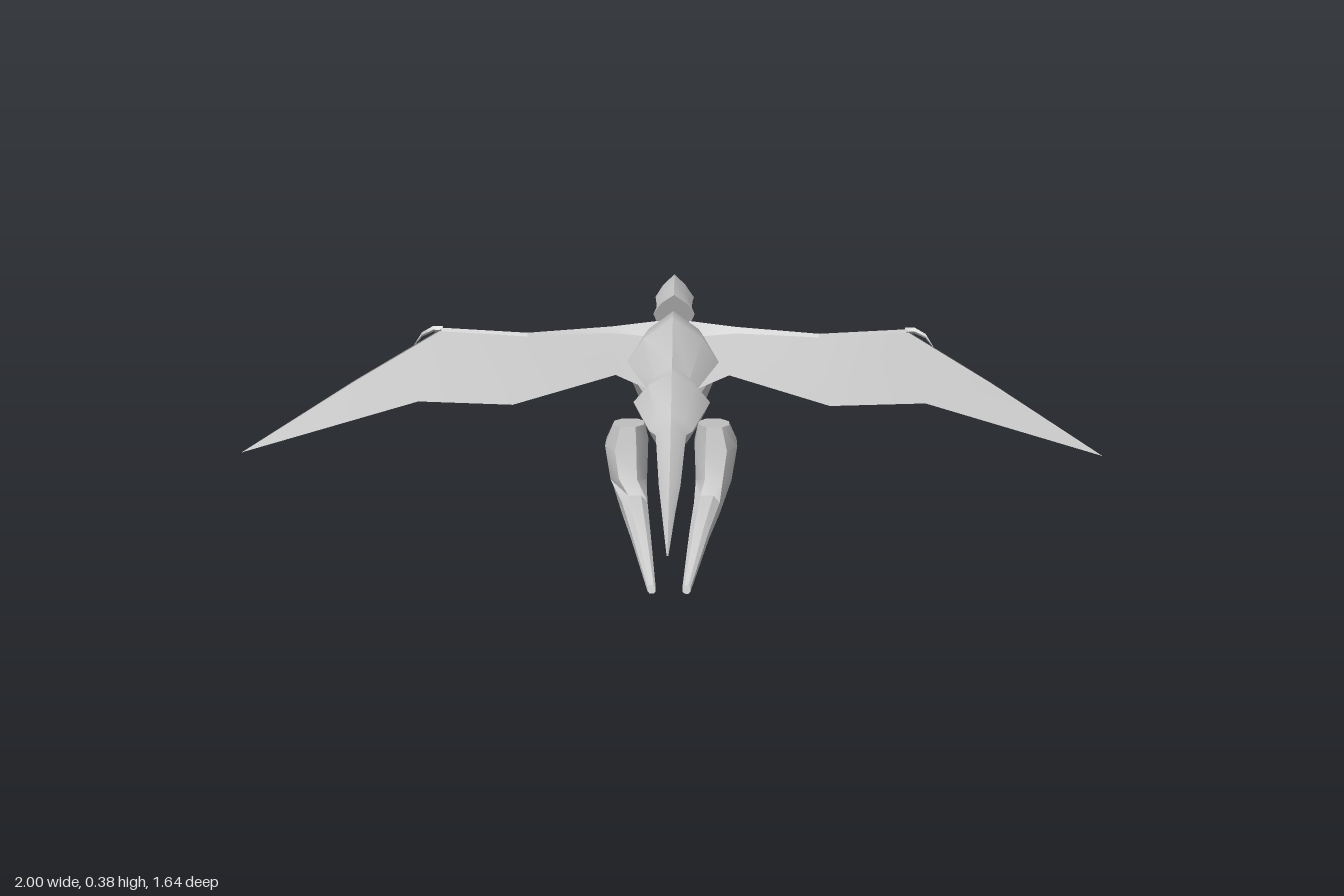
import * as THREE from 'three';
import { toCreasedNormals } from 'three/addons/utils/BufferGeometryUtils.js';

const material = new THREE.MeshStandardMaterial({ color: 0xcccccc });
const sheetMaterial = new THREE.MeshStandardMaterial({ color: 0xcccccc, side: THREE.DoubleSide });

// Cross-sections as [sideways, upward] factors
const RIDGED = [[0, 1], [0.62, 0.55], [1, 0], [0.7, -0.75], [0, -1], [-0.7, -0.75], [-1, 0], [-0.62, 0.55]];
const BOXY = [[0.5, 1], [1, 0.45], [1, -0.45], [0.5, -1], [-0.5, -1], [-1, -0.45], [-1, 0.45], [-0.5, 1]];

function buildMesh(name, triangles, crease, mat) {
  const geometry = new THREE.BufferGeometry();
  geometry.setAttribute('position', new THREE.Float32BufferAttribute(triangles.flat(), 3));
  const mesh = new THREE.Mesh(toCreasedNormals(geometry, crease), mat);
  mesh.name = name;
  return mesh;
}

// Skins a row of rings and closes both ends; flip reverses the winding
function skin(name, rings, flip = false) {
  const tris = [];
  const add = (a, b, c) => (flip ? tris.push(...a, ...c, ...b) : tris.push(...a, ...b, ...c));
  const n = rings[0].length;
  for (let i = 0; i < rings.length - 1; i++) {
    for (let j = 0; j < n; j++) {
      const k = (j + 1) % n;
      const [a, b, c, d] = [rings[i][j], rings[i][k], rings[i + 1][j], rings[i + 1][k]];
      add(a, b, c);
      add(b, d, c);
    }
  }
  const first = rings[0], last = rings[rings.length - 1];
  for (let j = 1; j < n - 1; j++) {
    add(first[0], first[j + 1], first[j]);
    add(last[0], last[j], last[j + 1]);
  }
  return buildMesh(name, tris, 0.6, material);
}

// Ring between a low and a high point of the side profile
function profileRing([zLow, yLow, zHigh, yHigh, width, x = 0], section, side = 1) {
  return section.map(([u, v]) => {
    const t = (v + 1) / 2;
    return [side * x + u * width, yLow + (yHigh - yLow) * t, zLow + (zHigh - zLow) * t];
  });
}

// Tail tip to neck: zLow, yLow, zHigh, yHigh, half width
const BODY = [
  [0.81, 0.198, 0.81, 0.202, 0.002],
  [0.65, 0.208, 0.65, 0.235, 0.014],
  [0.46, 0.187, 0.46, 0.224, 0.024],
  [0.23, 0.2, 0.23, 0.265, 0.035],
  [0.2, 0.19, 0.2, 0.272, 0.05],
  [0.05, 0.17, 0.04, 0.32, 0.092],
  [-0.03, 0.17, -0.03, 0.31, 0.07],
  [-0.18, 0.14, -0.19, 0.38, 0.12],
  [-0.35, 0.128, -0.37, 0.342, 0.105],
  [-0.44, 0.16, -0.43, 0.29, 0.075],
  [-0.49, 0.168, -0.46, 0.237, 0.04],
  [-0.55, 0.195, -0.53, 0.245, 0.032],
  [-0.6, 0.225, -0.6, 0.26, 0.028],
];

// Crest to beak tip
const HEAD = [
  [-0.5, 0.24, -0.45, 0.36, 0.055],
  [-0.54, 0.238, -0.52, 0.363, 0.047],
  [-0.6, 0.235, -0.6, 0.372, 0.05],
  [-0.65, 0.238, -0.66, 0.342, 0.053],
  [-0.71, 0.238, -0.72, 0.315, 0.04],
  [-0.765, 0.23, -0.78, 0.275, 0.026],
  [-0.828, 0.2, -0.83, 0.205, 0.003],
];

// Foot to hip, with the centre x last
const LEG = [
  [0.58, 0, 0.575, 0.018, 0.009, 0.038],
  [0.41, 0.042, 0.41, 0.085, 0.022, 0.066],
  [0.26, 0.033, 0.25, 0.09, 0.03, 0.084],
  [0.1, 0.062, 0.235, 0.125, 0.042, 0.1],
  [0.06, 0.17, 0.22, 0.19, 0.05, 0.105],
  [0.05, 0.205, 0.21, 0.245, 0.036, 0.1],
];

// Wing outline: leading and trailing points in pairs, root to tip
const WING = [
  [[0.05, 0.28, -0.4], [0.05, 0.25, -0.02]],
  [[0.16, 0.285, -0.39], [0.14, 0.262, -0.1]],
  [[0.37, 0.31, -0.27], [0.37, 0.28, 0.16]],
  [[0.6, 0.288, -0.37], [0.6, 0.265, 0.1]],
  [[0.78, 0.25, -0.08], [1, 0.178, 0.21]],
];

// Arm bones along the leading edge: x, y, z, half height, half depth
const ARM = [
  [0.04, 0.27, -0.4, 0.035, 0.055],
  [0.16, 0.278, -0.38, 0.018, 0.022],
  [0.37, 0.304, -0.265, 0.012, 0.016],
  [0.6, 0.286, -0.37, 0.008, 0.012],
];

function wing(side, label) {
  const group = new THREE.Group();
  group.name = label + 'Wing';
  const at = ([x, y, z]) => [side * x, y, z];

  const tris = [];
  for (let i = 0; i < WING.length - 1; i++) {
    const [a, d] = WING[i].map(at), [b, c] = WING[i + 1].map(at);
    const quad = side > 0 ? [a, d, b, b, d, c] : [a, b, d, b, c, d];
    tris.push(...quad.flat());
  }
  group.add(buildMesh('wingMembrane', tris, 0.6, sheetMaterial));

  const rings = ARM.map(([x, y, z, h, d]) =>
    [[x, y + h, z], [x, y, z + d], [x, y - h, z], [x, y, z - d]].map(at));
  group.add(skin('wingArm', rings, side < 0));

  // Stiff finger along the outer edge
  const finger = [[0.6, 0.286, -0.37, 0.007], [0.78, 0.25, -0.08, 0.004], [1, 0.178, 0.21, 0.001]]
    .map(([x, y, z, r]) => [[x, y + r, z], [x + r, y, z], [x, y - r, z], [x - r, y, z]].map(at));
  group.add(skin('wingFinger', finger, side < 0));

  // Hooked claws at the wrist
  const hooks = [
    [[0.6, 0.288, -0.375], [0.625, 0.288, -0.38], [0.652, 0.28, -0.357], [0.668, 0.265, -0.31]],
    [[0.6, 0.288, -0.375], [0.612, 0.282, -0.388], [0.608, 0.272, -0.37], [0.602, 0.265, -0.352]],
  ];
  for (const points of hooks) {
    const rows = points.map(([x, y, z], i) => {
      const r = [0.009, 0.008, 0.006, 0.001][i];
      return [[x, y + r, z], [x, y, z + r], [x, y - r, z], [x, y, z - r]].map(at);
    });
    const claw = skin('wristClaw', rows, side < 0);
    claw.material = sheetMaterial;
    group.add(claw);
  }
  return group;
}

export function createModel() {
  const model = new THREE.Group();
  model.name = 'flyingReptile';
  model.add(skin('bodyAndTail', BODY.map((r) => profileRing(r, RIDGED))));
  model.add(skin('head', HEAD.map((r) => profileRing(r, RIDGED))));
  for (const [side, label] of [[1, 'left'], [-1, 'right']]) {
    model.add(wing(side, label));
    model.add(skin(label + 'Leg', LEG.map((r) => profileRing(r, BOXY, side))));
  }
  return model;
}
